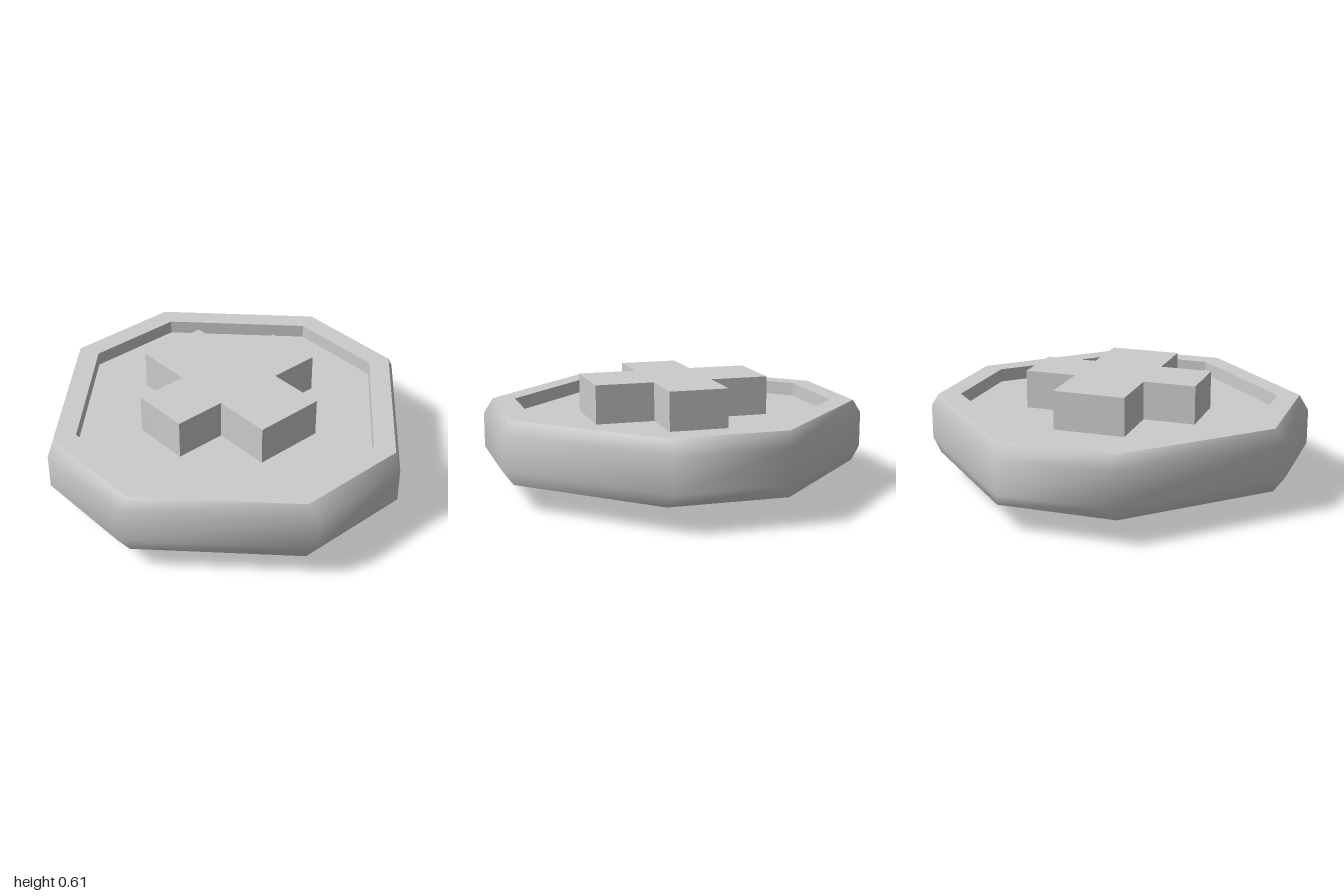
import * as THREE from 'three';

const material = new THREE.MeshStandardMaterial({ color: 0xcccccc });

// Corners of an octagon: sides at distance a, with short half-sides b
const octagon = (a, b) => [[a, -b], [a, b], [b, a], [-b, a], [-a, b], [-a, -b], [-b, -a], [b, -a]];

// Skin through octagonal rings [y, a, b], listed so that the outside lies on the right
function loft(rings, smooth) {
  const positions = [], index = [];
  rings.forEach(([y, a, b]) => octagon(a, b).forEach(([x, z]) => positions.push(x, y, z)));
  for (let r = 0; r < rings.length - 1; r++) {
    for (let i = 0; i < 8; i++) {
      const p = r * 8 + i, q = r * 8 + (i + 1) % 8;
      index.push(p, p + 8, q, q, p + 8, q + 8);
    }
  }
  let geometry = new THREE.BufferGeometry();
  geometry.setAttribute('position', new THREE.Float32BufferAttribute(positions, 3));
  geometry.setIndex(index);
  if (!smooth) geometry = geometry.toNonIndexed();
  geometry.computeVertexNormals();
  return geometry;
}

// Upright prism with the given plan, from y0 to y1
function prism(points, y0, y1) {
  const shape = new THREE.Shape(points.map(([x, y]) => new THREE.Vector2(x, y)));
  return new THREE.ExtrudeGeometry(shape, { depth: y1 - y0, bevelEnabled: false })
    .rotateX(-Math.PI / 2).translate(0, y0, 0);
}

export function createModel() {
  const group = new THREE.Group();
  const add = (name, geometry) => {
    const mesh = new THREE.Mesh(geometry, material);
    mesh.name = name;
    group.add(mesh);
  };

  const bottom = 0.137, low = 0.21, high = 0.4, top = 0.475, height = 0.61;
  const inner = [0.83, 0.27], edge = [0.945, 0.315], outer = [1, 0.295];

  // Chamfered outer wall, shaded smoothly all round
  add('outerWall', loft([[bottom, ...edge], [low, ...outer], [high, ...outer], [top, ...edge]], true));

  // Raised rims with the walls of both recesses
  add('bottomRim', loft([[low, ...inner], [bottom, ...inner], [bottom, ...edge]], false));
  add('topRim', loft([[top, ...edge], [top, ...inner], [high, ...inner]], false));

  // Slab whose faces are the recess floors
  add('recessFloor', prism(octagon(...inner), low, high));

  // Cross passing through the body
  const l = 0.48, w = 0.16, d = 0.195;
  add('cross', prism([
    [l, -d], [l, d], [w, d], [w, l], [-w, l], [-w, d],
    [-l, d], [-l, -d], [-w, -d], [-w, -l], [w, -l], [w, -d],
  ], 0, height));

  return group;
}
